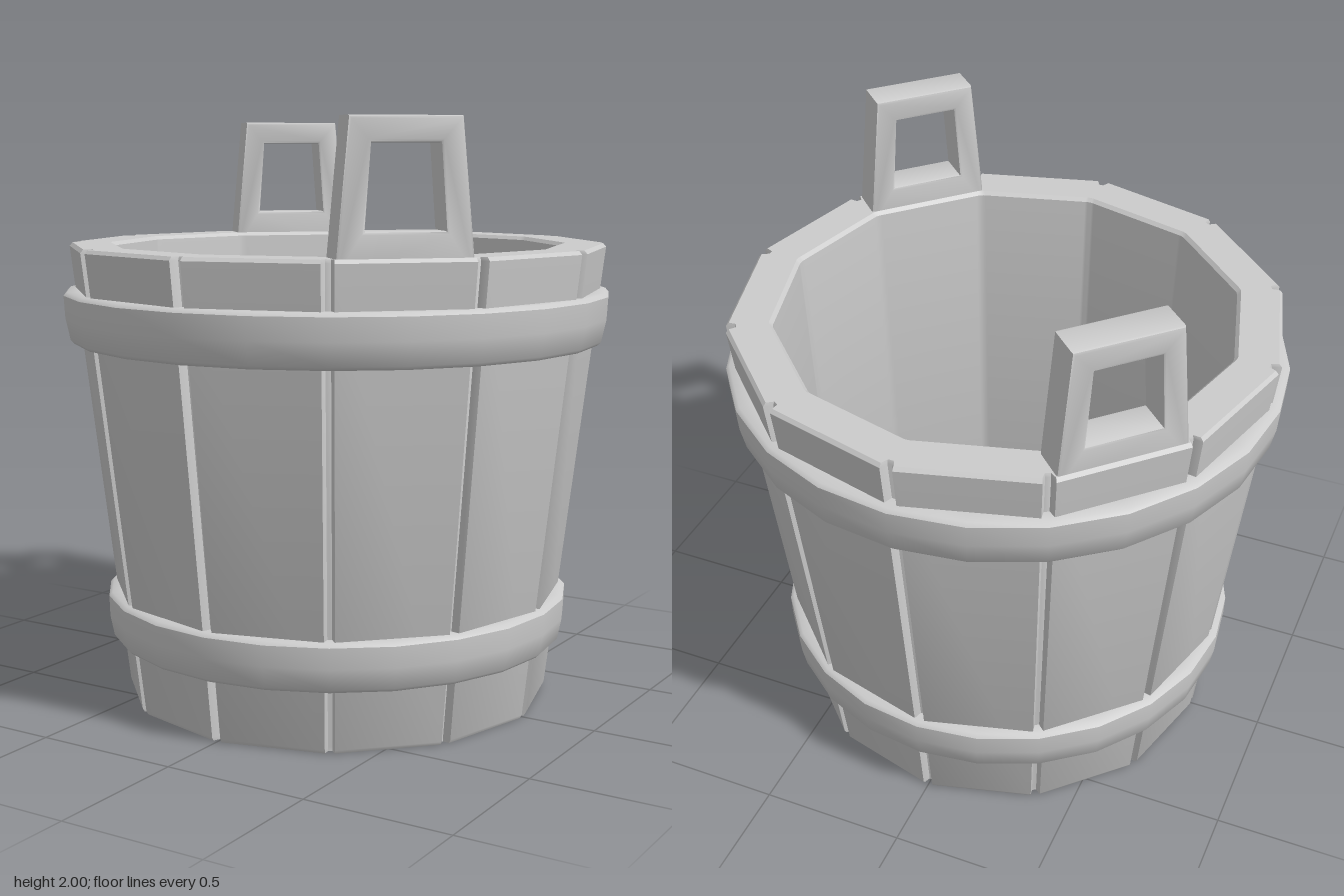
import * as THREE from 'three';
import { toCreasedNormals } from 'three/addons/utils/BufferGeometryUtils.js';

const STAVES = 12;
const STEP = (Math.PI * 2) / STAVES;
const HEIGHT = 1.58;
const outerR = (y) => 0.742 + 0.119 * y;
const innerR = (y) => 0.705 + 0.046 * y;
const material = new THREE.MeshStandardMaterial({ color: 0xcccccc });

function addMesh(parent, geometry, name) {
  const mesh = new THREE.Mesh(geometry, material);
  mesh.name = name;
  parent.add(mesh);
  return mesh;
}

// Skin closed rings of points into a tube whose last ring joins the first
function loft(rings) {
  const n = rings[0].length;
  const index = [];
  for (let k = 0; k < rings.length; k++) {
    const a = k * n;
    const b = ((k + 1) % rings.length) * n;
    for (let i = 0; i < n; i++) {
      const j = (i + 1) % n;
      index.push(a + i, b + i, b + j, a + i, b + j, a + j);
    }
  }
  const geometry = new THREE.BufferGeometry();
  geometry.setAttribute('position', new THREE.Float32BufferAttribute(rings.flat(2), 3));
  geometry.setIndex(index);
  return toCreasedNormals(geometry, 0.62);
}

// One level of the wall: a twelve-sided ring, with notches where staves meet
function wallRing(radius, y, groove) {
  const ring = [];
  for (let s = 0; s < STAVES; s++) {
    for (const [offset, inset] of [[-0.022, 0], [-0.01, groove], [0.01, groove], [0.022, 0]]) {
      const a = s * STEP + offset;
      // follow the flat side of the polygon close to its corner
      const side = Math.cos(STEP / 2) / Math.cos(STEP / 2 - Math.abs(offset));
      const r = radius * (groove ? 1 : side) - inset;
      ring.push([Math.sin(a) * r, y, Math.cos(a) * r]);
    }
  }
  return ring;
}

// Tapered wall of staves, open at both ends, with softened rims
function staveWall() {
  const b = 0.012;
  const g = 0.03;
  const top = HEIGHT;
  return loft([
    wallRing(innerR(0) + 0.005, 0, 0),
    wallRing(outerR(0) - 0.006, 0, 0.022),
    wallRing(outerR(b), b, g),
    wallRing(outerR(top - b), top - b, g),
    wallRing(outerR(top) - b, top, g - b / 2),
    wallRing(innerR(top) + b, top, 0),
    wallRing(innerR(top - b), top - b, 0),
    wallRing(innerR(b), b, 0),
  ].reverse());
}

// Rounded band around the staves
function hoop(y0, y1, r0, r1) {
  const inset = 0.06;
  const profile = [
    [r0 - inset, y0], [r0 - 0.012, y0], [r0, y0 + 0.012],
    [(r0 + r1) / 2 + 0.006, (y0 + y1) / 2],
    [r1, y1 - 0.012], [r1 - 0.012, y1], [r1 - inset, y1], [r0 - inset, y0],
  ].map(([x, y]) => new THREE.Vector2(x, y));
  return toCreasedNormals(new THREE.LatheGeometry(profile, 24), 0.8);
}

function trapezoid(PathType, y0, y1, half0, half1) {
  const path = new PathType();
  path.moveTo(-half0, y0);
  path.lineTo(half0, y0);
  path.lineTo(half1, y1);
  path.lineTo(-half1, y1);
  path.closePath();
  return path;
}

// Lug with a window, standing on the rim
function handleGeometry() {
  const bevel = 0.01;
  const shape = trapezoid(THREE.Shape, HEIGHT - 0.05, 2 - bevel, 0.21, 0.167);
  shape.holes.push(trapezoid(THREE.Path, 1.66 - bevel, 1.92 + bevel, 0.135, 0.115));
  const geometry = new THREE.ExtrudeGeometry(shape, {
    depth: 0.108, bevelEnabled: true, bevelSize: bevel, bevelThickness: bevel, bevelSegments: 2,
  });
  geometry.translate(0, 0, 0.773);
  return toCreasedNormals(geometry, 0.6);
}

export function createModel() {
  const bucket = new THREE.Group();
  bucket.name = 'bucket';

  addMesh(bucket, staveWall(), 'staves');

  // Floor board, set slightly up from the bottom edge
  const floor = new THREE.CylinderGeometry(0.718, 0.715, 0.05, STAVES);
  addMesh(bucket, floor, 'floor').position.y = 0.075;

  addMesh(bucket, hoop(1.25, 1.425, 0.922, 0.943), 'upperHoop');
  addMesh(bucket, hoop(0.215, 0.38, 0.795, 0.811), 'lowerHoop');

  // Two opposite handles on the diagonal
  const lug = handleGeometry();
  addMesh(bucket, lug, 'frontHandle').rotation.y = Math.PI / 4;
  addMesh(bucket, lug, 'backHandle').rotation.y = Math.PI * 1.25;

  return bucket;
}
